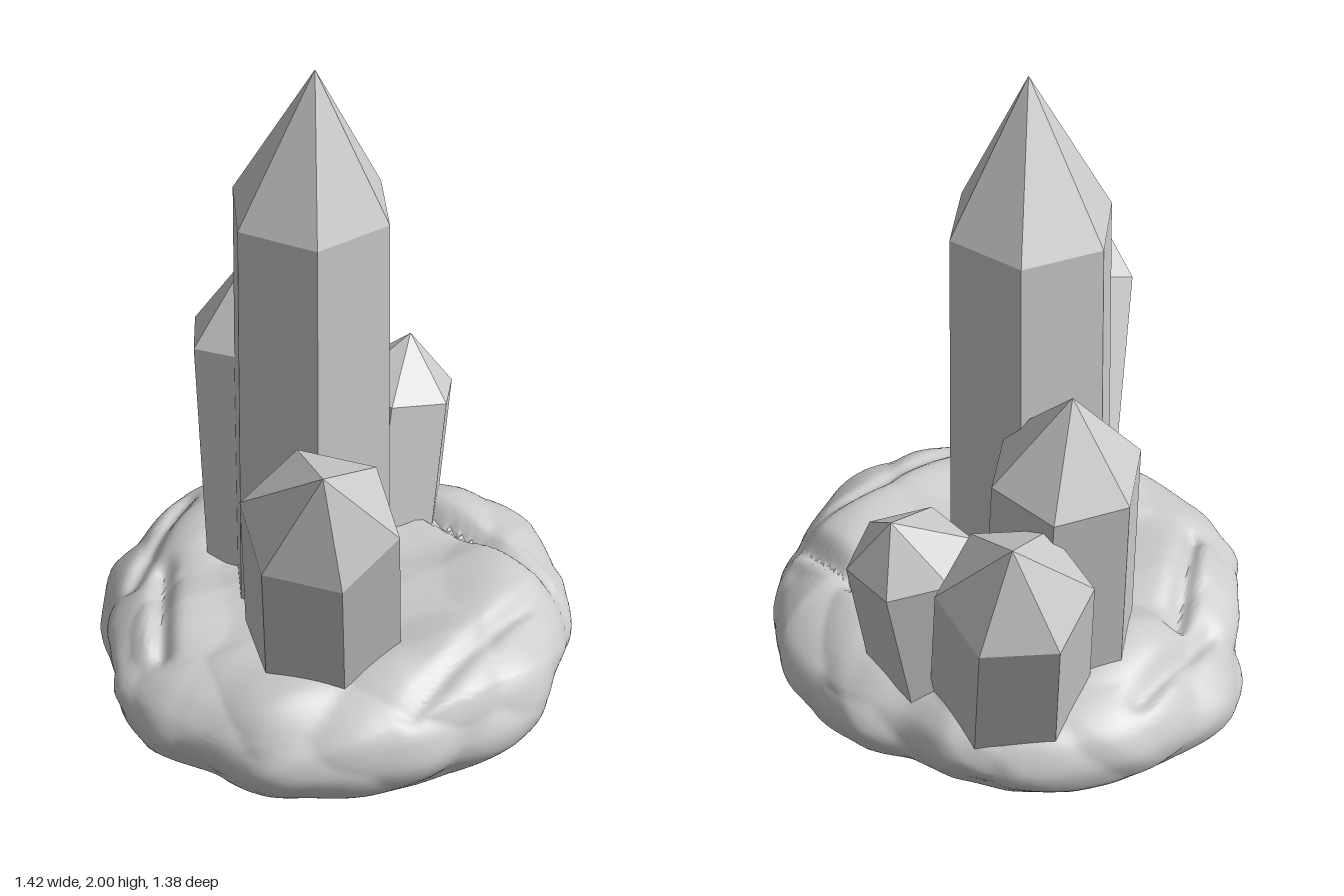
import * as THREE from 'three';
import { toCreasedNormals } from 'three/addons/utils/BufferGeometryUtils.js';

const stone = new THREE.MeshStandardMaterial({ color: 0xcccccc });
stone.name = 'paleGreyStone';

// Six-sided pointed crystal: base centre, shoulder centre, tip point, shoulder radius, twist in degrees
function crystal(name, base, shoulder, tip, radius, twist) {
  const b = new THREE.Vector3(...base);
  const axis = new THREE.Vector3(...shoulder).sub(b);
  const h = axis.length();
  const turn = new THREE.Quaternion().setFromUnitVectors(new THREE.Vector3(0, 1, 0), axis.normalize());
  const apex = new THREE.Vector3(...tip).sub(b).applyQuaternion(turn.clone().invert());
  const profile = [[radius * 1.08, 0], [radius, h], [0, apex.y]].map(p => new THREE.Vector2(...p));
  const lathe = new THREE.LatheGeometry(profile, 6, Math.PI / 2 - THREE.MathUtils.degToRad(twist));
  const geo = lathe.toNonIndexed();
  const pos = geo.attributes.position;
  for (let i = 0; i < pos.count; i++) {
    if (pos.getY(i) > h + 0.01) pos.setXYZ(i, apex.x, apex.y, apex.z);
  }
  geo.computeVertexNormals();
  const mesh = new THREE.Mesh(geo, stone);
  mesh.name = name;
  mesh.position.copy(b);
  mesh.quaternion.copy(turn);
  return mesh;
}

// Smooth lookup in a list of values spread evenly round the circle
function around(list, a) {
  const n = list.length;
  const t = (a / (Math.PI * 2)) * n;
  const i = Math.floor(t) % n;
  const f = t - Math.floor(t);
  return THREE.MathUtils.lerp(list[i], list[(i + 1) % n], f * f * (3 - 2 * f));
}

// Distance from (x, z) to a line segment on the ground plane
function segmentDistance(x, z, [x1, z1, x2, z2]) {
  const dx = x2 - x1, dz = z2 - z1;
  const t = THREE.MathUtils.clamp(((x - x1) * dx + (z - z1) * dz) / (dx * dx + dz * dz), 0, 1);
  return Math.hypot(x - x1 - t * dx, z - z1 - t * dz);
}

// Lump centres scattered over the flank and rim of the rock
const lumps = Array.from({ length: 42 }, (_, i) => {
  const a = i * 2.4;
  return new THREE.Vector3(Math.cos(a), 0, Math.sin(a)).multiplyScalar([0.68, 0.66, 0.52][i % 3])
    .setY([0.11, 0.26, 0.36][i % 3] + 0.03 * Math.sin(i * 5));
});

// Lumps with sharp valleys between them, plus soft waves and low ridges
function roughness(x, y, z) {
  const p = new THREE.Vector3(x, y, z);
  const d = Math.min(...lumps.map(l => l.distanceTo(p)));
  const wave = Math.sin(9 * x + 4 * z + 1) * Math.sin(8 * z - 5 * y + 2);
  const ridge = 0.6 - Math.abs(Math.sin(11 * x - 13 * y + 5 * z)) - Math.abs(Math.sin(9 * z + 12 * y - 4 * x)) * 0.4;
  return 0.8 * Math.max(-1, 1 - (d / 0.14) ** 2) + 0.5 * wave + 0.5 * ridge;
}

function rockGeometry() {
  // Outline radius every 15 degrees and rim height every 30, from +x towards +z
  const outline = [0.71, 0.70, 0.69, 0.68, 0.68, 0.71, 0.68, 0.70, 0.71, 0.68, 0.70, 0.72,
    0.71, 0.71, 0.70, 0.69, 0.66, 0.63, 0.68, 0.71, 0.70, 0.70, 0.70, 0.69];
  const rim = [0.425, 0.4, 0.38, 0.36, 0.35, 0.34, 0.375, 0.38, 0.365, 0.38, 0.39, 0.415];
  // Cross-section from the middle of the underside, out and up to the middle of the top
  const section = new THREE.CatmullRomCurve3([[0, 0], [0.5, 0], [0.7, 0.005], [0.83, 0.025], [0.93, 0.08],
    [1, 0.18], [0.975, 0.25], [0.91, 0.3], [0.82, 0.34], [0.7, 0.368], [0.5, 0.375], [0.25, 0.375], [0, 0.375]]
    .map(([r, y]) => new THREE.Vector3(r, y, 0)), false, 'centripetal');
  // Cracks across the top: segment and depth
  const cracks = [[[0.08, -0.4, 0.56, -0.35], 0.05], [[0.57, -0.36, 0.5, 0.36], 0.025],
    [[-0.46, 0.19, -0.24, 0.5], 0.04], [[-0.6, -0.12, -0.53, 0.26], 0.04]];
  const sides = 180, rings = 84;
  const positions = [], index = [];
  for (let i = 0; i <= rings; i++) {
    const p = section.getPoint(i / rings);
    for (let j = 0; j < sides; j++) {
      const a = (j / sides) * Math.PI * 2;
      let r = p.x * around(outline, a);
      // Rim height fades towards the flat middle
      let y = p.y * THREE.MathUtils.lerp(1, around(rim, a) / 0.375, Math.min(1, p.x * 1.4));
      const outward = p.x * THREE.MathUtils.smoothstep(p.y, 0.005, 0.1);
      const n = roughness(r * Math.cos(a), y, r * Math.sin(a));
      r *= 1 + outward * (0.028 * n - 0.004);
      // Undercut at the front left, and a flank that slopes inwards on that side
      const notch = Math.exp(-(((a - 2.35) / 0.35) ** 2)) * Math.exp(-(((p.y - 0.16) / 0.06) ** 2));
      const slope = Math.exp(-(((a - 2.8) / 0.5) ** 2)) * (0.135 - p.y);
      r *= 1 + p.x * THREE.MathUtils.smoothstep(p.y, 0.005, 0.06) * (0.8 * slope - 0.08 * notch);
      const x = r * Math.cos(a), z = r * Math.sin(a);
      const upper = THREE.MathUtils.smoothstep(p.y, 0.22, 0.35);
      y += upper * 0.014 * n;
      for (const [seg, depth] of cracks) y -= upper * depth * Math.exp(-((segmentDistance(x, z, seg) / 0.03) ** 2));
      positions.push(x, Math.max(0, y), z);
    }
  }
  for (let i = 0; i < rings; i++) {
    for (let j = 0; j < sides; j++) {
      const k = (j + 1) % sides;
      const a = i * sides + j, b = a + sides, c = (i + 1) * sides + k, d = i * sides + k;
      if (i < rings - 1) index.push(a, b, c);
      else index.push(a, b, d);
      if (i > 0 && i < rings - 1) index.push(a, c, d);
    }
  }
  const geo = new THREE.BufferGeometry();
  geo.setAttribute('position', new THREE.Float32BufferAttribute(positions, 3));
  geo.setIndex(index);
  return toCreasedNormals(geo, 0.8);
}

export function createModel() {
  const model = new THREE.Group();
  model.name = 'crystalCluster';

  const rock = new THREE.Mesh(rockGeometry(), stone);
  rock.name = 'rockBase';
  model.add(rock);

  model.add(
    crystal('mainCrystal', [-0.07, 0.2, -0.012], [-0.069, 1.58, -0.012], [-0.045, 2, 0], 0.231, -8),
    crystal('frontLeftCrystal', [0.08, 0.2, 0.155], [0.3, 1.02, 0.507], [0.39, 1.267, 0.627], 0.213, -19),
    crystal('backRightCrystal', [-0.275, 0.2, -0.305], [-0.467, 0.83, -0.475], [-0.533, 1.055, -0.55], 0.208, 11),
    crystal('rightCrystal', [-0.25, 0.2, -0.09], [-0.35, 1.0, -0.162], [-0.375, 1.25, -0.17], 0.212, -5),
    crystal('backCrystal', [-0.07, 0.2, -0.37], [-0.07, 0.73, -0.479], [-0.07, 0.875, -0.542], 0.175, 5),
  );
  return model;
}
